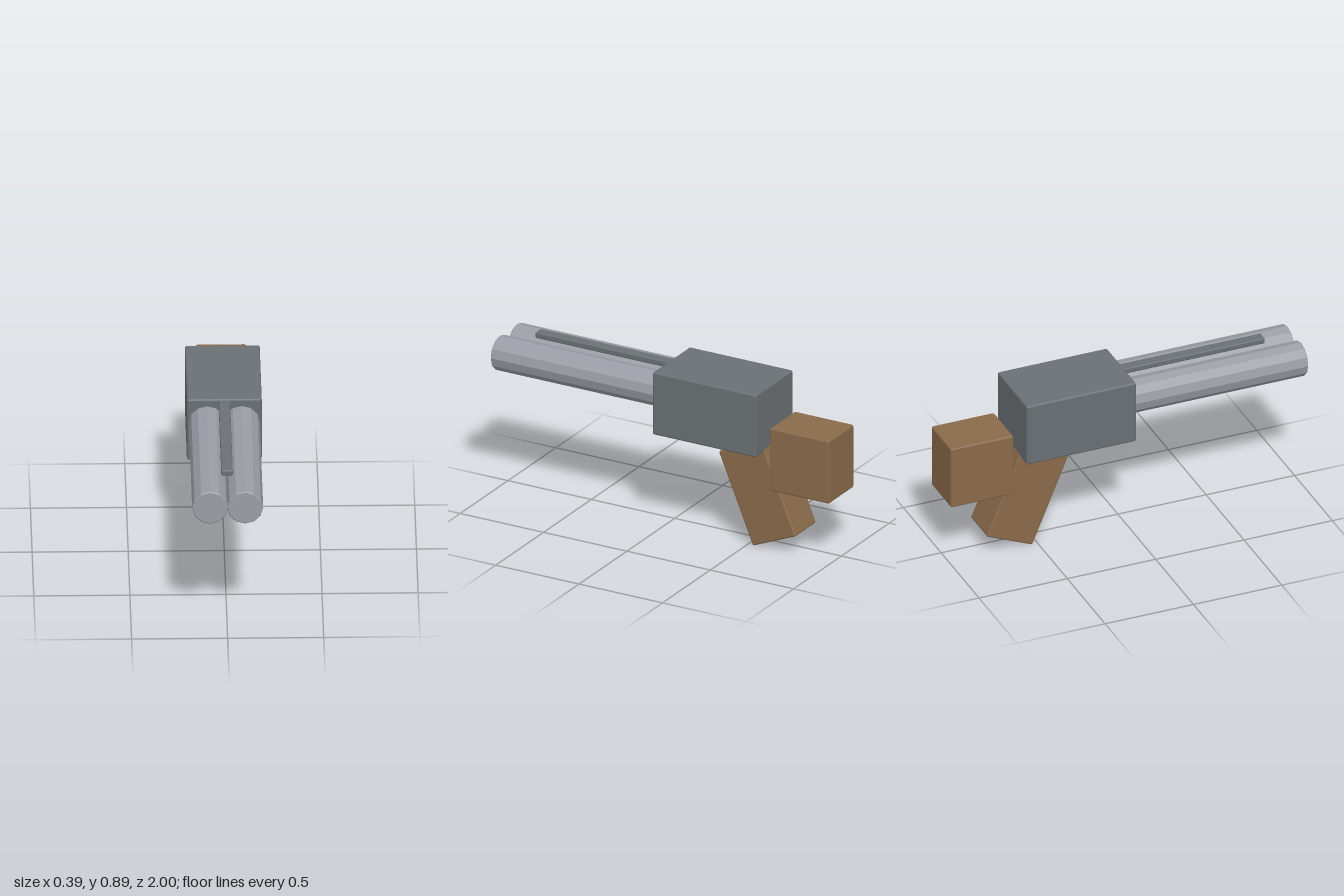
import * as THREE from 'three';
import { RoundedBoxGeometry } from 'three/addons/geometries/RoundedBoxGeometry.js';

const gunmetal = new THREE.MeshStandardMaterial({ name: 'gunmetal', color: 0x6a7074 });
const steel = new THREE.MeshStandardMaterial({ name: 'steel', color: 0x9a9da5 });
const wood = new THREE.MeshStandardMaterial({ name: 'wood', color: 0x8a6a4a });
steel.flatShading = true; // faceted barrels

export function createModel() {
  const group = new THREE.Group();

  // Box with softened edges, given its size and centre
  function block(name, material, size, centre, radius = 0.01) {
    const mesh = new THREE.Mesh(new RoundedBoxGeometry(...size, 2, radius), material);
    mesh.name = name;
    mesh.position.set(...centre);
    group.add(mesh);
    return mesh;
  }

  block('receiver', gunmetal, [0.39, 0.353, 0.62], [0, 0.7215, -0.288]);
  block('sightRib', gunmetal, [0.06, 0.032, 0.81], [0, 0.876, 0.415], 0.007);
  block('stock', wood, [0.262, 0.355, 0.355], [0, 0.522, -0.8225]);

  // Raked grip
  const grip = block('grip', wood, [0.22, 0.533, 0.28], [0, 0.3, -0.556]);
  grip.rotation.x = THREE.MathUtils.degToRad(22.7);

  // Twin twelve-sided barrels with slightly bevelled ends
  const r = 0.094, bevel = 0.005, half = 0.492;
  const profile = [
    [0, -half], [r - bevel, -half], [r, -half + bevel],
    [r, half - bevel], [r - bevel, half], [0, half],
  ].map(([x, y]) => new THREE.Vector2(x, y));
  const barrelGeometry = new THREE.LatheGeometry(profile, 12);
  barrelGeometry.rotateX(Math.PI / 2);
  for (const [name, side] of [['leftBarrel', 1], ['rightBarrel', -1]]) {
    const barrel = new THREE.Mesh(barrelGeometry, steel);
    barrel.name = name;
    barrel.position.set(side * 0.091, 0.765, 1 - half);
    group.add(barrel);
  }

  return group;
}
